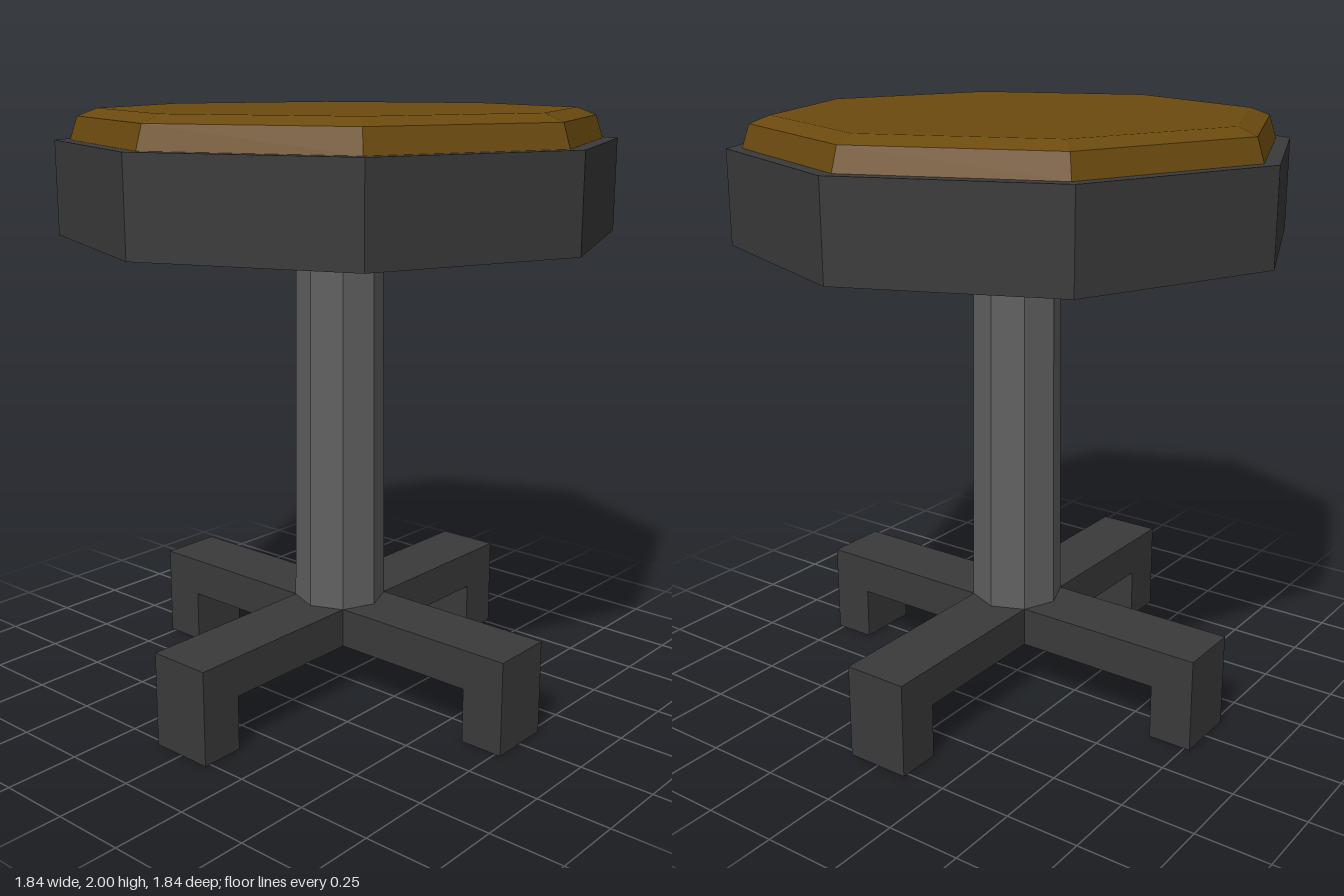
import * as THREE from 'three';

const mat = (name, color) => {
  const m = new THREE.MeshStandardMaterial({ color });
  m.name = name;
  return m;
};

export function createModel() {
  const darkMetal = mat('dark metal', 0x3a3a3a);
  const postMetal = mat('grey metal', 0x606060);
  const leather = mat('brown leather', 0x6b4a0e);
  for (const m of [darkMetal, postMetal, leather]) m.flatShading = true;

  const model = new THREE.Group();
  model.name = 'stool';
  const add = (name, geometry, material, y = 0) => {
    const mesh = new THREE.Mesh(geometry, material);
    mesh.name = name;
    mesh.position.y = y;
    model.add(mesh);
    return mesh;
  };

  // Crossed base: a square hub and four arms with turned-down feet
  const half = 0.11, barLow = 0.185, barTop = 0.32, reach = 0.77, footIn = 0.62;
  add('baseHub', new THREE.BoxGeometry(half * 2, barTop - barLow, half * 2), darkMetal, (barLow + barTop) / 2);
  const profile = new THREE.Shape([
    [half, barLow], [footIn, barLow], [footIn, 0], [reach, 0], [reach, barTop], [half, barTop],
  ].map(([x, y]) => new THREE.Vector2(x, y)));
  const armGeometry = new THREE.ExtrudeGeometry(profile, { depth: half * 2, bevelEnabled: false });
  armGeometry.translate(0, 0, -half);
  for (let i = 0; i < 4; i++) {
    add(`baseArm${i + 1}`, armGeometry, darkMetal).rotation.y = i * Math.PI / 2;
  }

  // Tapered octagonal post
  add('post', new THREE.CylinderGeometry(0.145, 0.157, 1.6 - barTop, 8, 1, true), postMetal, (1.6 + barTop) / 2);

  // Octagonal seat pan
  add('seatPan', new THREE.CylinderGeometry(0.92, 0.92, 0.305, 8), darkMetal, 1.7475);

  // Cushion with a bevelled rim
  const cushionProfile = [[0.87, 1.9], [0.845, 1.975], [0.78, 2], [0, 2]]
    .map(([x, y]) => new THREE.Vector2(x, y));
  add('cushion', new THREE.LatheGeometry(cushionProfile, 8), leather);

  return model;
}
